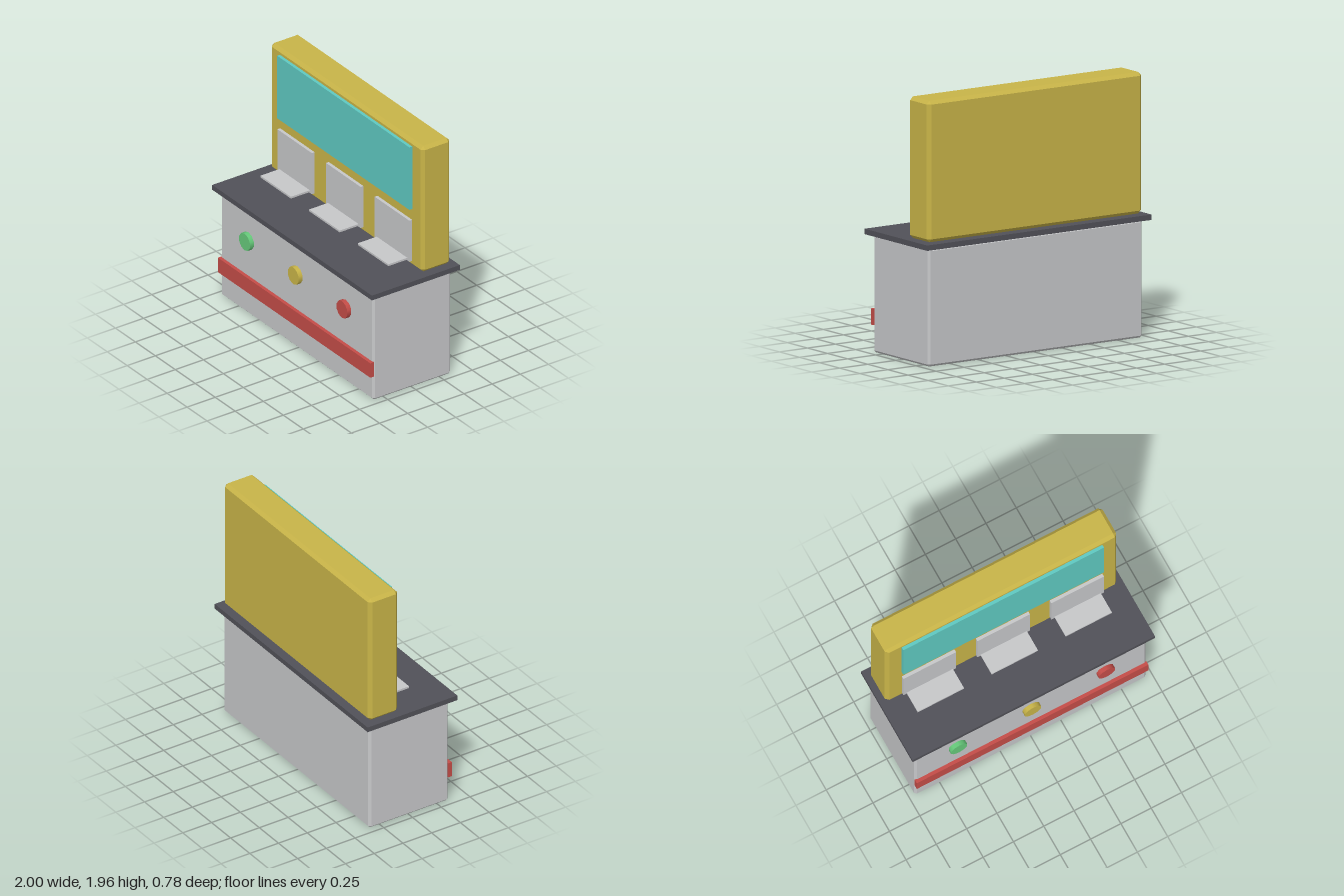
import * as THREE from 'three';
import { ConvexGeometry } from 'three/addons/geometries/ConvexGeometry.js';

const mat = (name, color) => {
  const m = new THREE.MeshStandardMaterial({ color });
  m.name = name;
  return m;
};

// Box given by its min and max corners, with an optional flat chamfer on all edges
function block(name, material, min, max, bevel = 0) {
  const size = max.map((v, i) => v - min[i]);
  let geometry;
  if (bevel > 0) {
    const [x, y, z] = size.map((s) => s / 2);
    const points = [];
    for (const sx of [-1, 1]) for (const sy of [-1, 1]) for (const sz of [-1, 1]) {
      points.push(
        new THREE.Vector3(sx * x, sy * (y - bevel), sz * (z - bevel)),
        new THREE.Vector3(sx * (x - bevel), sy * y, sz * (z - bevel)),
        new THREE.Vector3(sx * (x - bevel), sy * (y - bevel), sz * z)
      );
    }
    geometry = new ConvexGeometry(points);
  } else {
    geometry = new THREE.BoxGeometry(...size);
  }
  const mesh = new THREE.Mesh(geometry, material);
  mesh.position.set(...min.map((v, i) => (v + max[i]) / 2));
  mesh.name = name;
  return mesh;
}

export function createModel() {
  const grey = mat('light grey', 0xc6c7c9);
  const gold = mat('gold', 0xc8b448);
  const dark = mat('dark grey', 0x515158);
  const teal = mat('teal', 0x5fc9c1);
  const red = mat('red', 0xc44d48);
  const green = mat('green', 0x66c97a);

  const model = new THREE.Group();
  model.name = 'counterStand';

  // Cabinet, worktop and upright back
  model.add(
    block('cabinet', grey, [-0.955, 0, -0.345], [0.955, 0.87, 0.345], 0.016),
    block('worktop', dark, [-1, 0.87, -0.39], [1, 0.91, 0.39]),
    block('backUnit', gold, [-0.955, 0.915, -0.345], [0.955, 1.96, -0.09], 0.025),
    block('screen', teal, [-0.828, 1.395, -0.1], [0.828, 1.915, -0.065]),
    block('frontStripe', red, [-0.955, 0.2, 0.34], [0.955, 0.32, 0.372])
  );

  // Three bays: back panel, tray and round button
  [green, gold, red].forEach((colour, i) => {
    const x = (i - 1) * 0.61;
    const bay = new THREE.Group();
    bay.name = 'bay' + (i + 1);
    bay.position.x = x;
    bay.add(
      block('bayPanel', grey, [-0.217, 0.963, -0.1], [0.217, 1.305, -0.065]),
      block('tray', grey, [-0.191, 0.97, -0.07], [0.191, 0.985, 0.103])
    );
    const button = new THREE.Mesh(new THREE.CylinderGeometry(0.07, 0.07, 0.04, 10), colour);
    button.name = 'button';
    button.rotation.x = Math.PI / 2;
    button.position.set(0, 0.612, 0.36);
    bay.add(button);
    model.add(bay);
  });

  return model;
}
